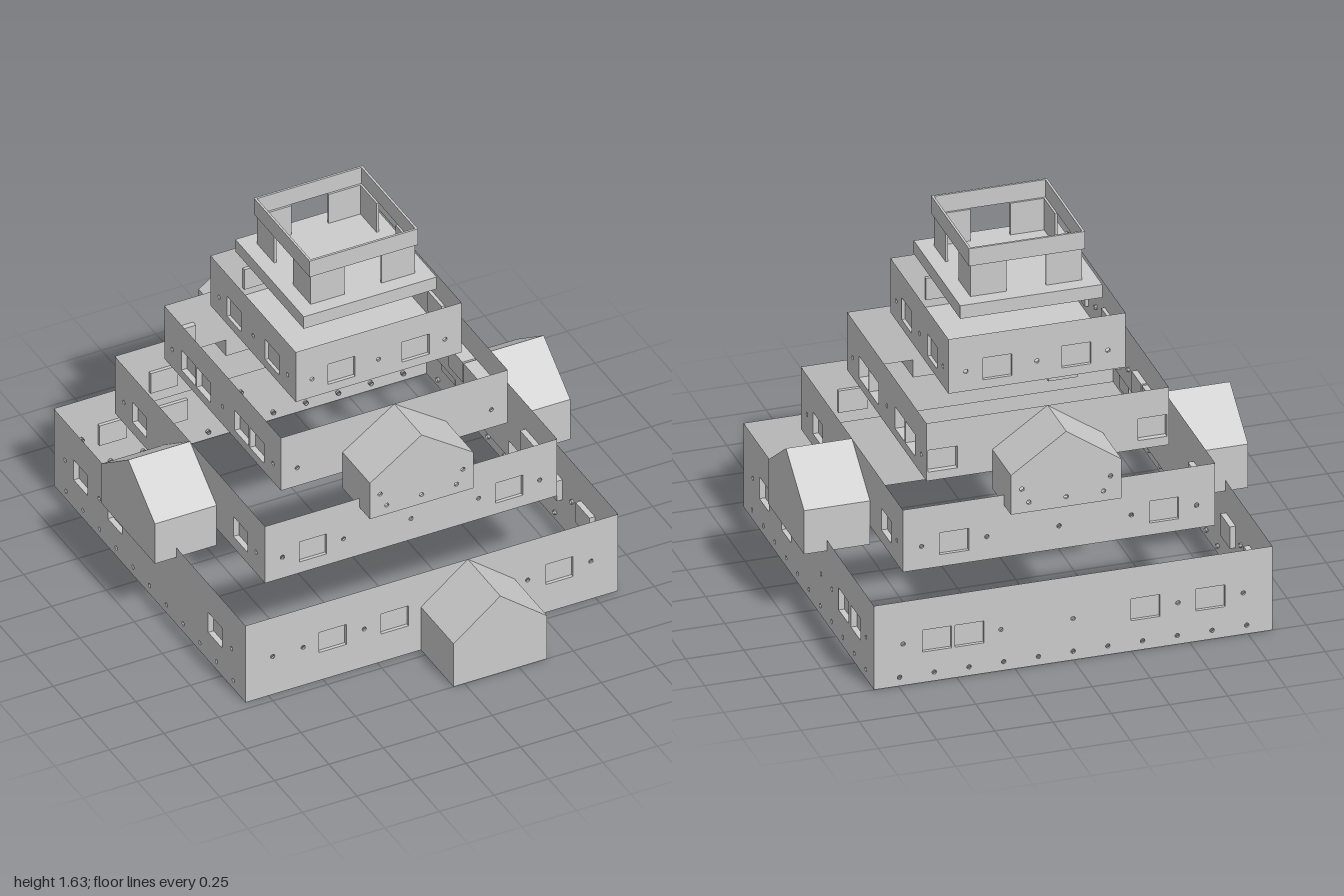
import * as THREE from 'three';

const CZ = -0.145; // centre of the tower in z
const mat = new THREE.MeshStandardMaterial({ color: 0xcccccc, side: THREE.DoubleSide, flatShading: true });
const WIN_W = 0.125, WIN_H = 0.1, HOLE_R = 0.01;

function add(parent, name, geometry, x = 0, y = 0, z = 0) {
  const mesh = new THREE.Mesh(geometry, mat);
  mesh.name = name;
  mesh.position.set(x, y, z);
  parent.add(mesh);
  return mesh;
}

function polygon(points) {
  return new THREE.Shape(points.map(([x, y]) => new THREE.Vector2(x, y)));
}

// round drain holes cut in a wall
function punch(shape, holes) {
  for (const [x, y] of holes) {
    const path = new THREE.Path();
    path.absarc(x, y, HOLE_R, 0, Math.PI * 2, true);
    shape.holes.push(path);
  }
}

// short sleeves behind the holes
function sleeves(parent, holes, z) {
  for (const [x, y] of holes) {
    const tube = new THREE.CylinderGeometry(HOLE_R, HOLE_R, 0.012, 10, 1, true).rotateX(Math.PI / 2);
    add(parent, 'holeSleeve', tube, x, y, z - 0.006);
  }
}

// box without its front face: a blind window recess
function recess(w, h, d) {
  const g = new THREE.BoxGeometry(w, h, d);
  const index = Array.from(g.index.array);
  g.setIndex(index.filter((_, i) => i < 24 || i >= 30));
  g.clearGroups();
  return g;
}

// one side of a storey, facing local +z at distance half from the axis
function wall({ half, y0, y1, mid, windows = [], holes = [], low = [], depth = 0.015 }) {
  const group = new THREE.Group();
  const shape = polygon([[-half, y0], [half, y0], [half, y1], [-half, y1]]);
  const round = [...holes.map(u => [u, mid]), ...low.map(u => [u, 0.04])];
  punch(shape, round);
  const a = WIN_W / 2, b = WIN_H / 2;
  for (const u of windows) {
    shape.holes.push(polygon([[u - a, mid - b], [u - a, mid + b], [u + a, mid + b], [u + a, mid - b]]));
    add(group, 'windowRecess', recess(WIN_W, WIN_H, depth), u, mid, half - depth / 2);
  }
  add(group, 'wall', new THREE.ShapeGeometry(shape, 5), 0, 0, half);
  sleeves(group, round, half);
  return group;
}

// gabled bay projecting towards local +z
function gableBay({ width, y0, eave, ridge, z0, z1, x = 0, closed = true, holes = [] }) {
  const group = new THREE.Group();
  group.name = 'gableBay';
  const w = width / 2;
  const outline = [[w, y0], [w, eave], [0, ridge], [-w, eave], [-w, y0]];
  const front = polygon(outline);
  punch(front, holes);
  add(group, 'gable', new THREE.ShapeGeometry(front, 5), x, 0, z1);
  sleeves(group, holes, z1);
  if (closed) add(group, 'backGable', new THREE.ShapeGeometry(polygon(outline)), x, 0, z0);
  // sides, roof slopes and floor as one ribbon
  const position = [];
  for (let i = 0; i < (closed ? 5 : 4); i++) {
    const [ax, ay] = outline[i], [bx, by] = outline[(i + 1) % 5];
    position.push(ax, ay, z1, ax, ay, z0, bx, by, z0, ax, ay, z1, bx, by, z0, bx, by, z1);
  }
  const shell = new THREE.BufferGeometry();
  shell.setAttribute('position', new THREE.Float32BufferAttribute(position, 3));
  shell.computeVertexNormals();
  add(group, 'sidesAndRoof', shell, x);
  return group;
}

export function createModel() {
  const model = new THREE.Group();
  model.name = 'steppedTower';
  const tower = new THREE.Group();
  tower.name = 'tower';
  tower.position.z = CZ;
  model.add(tower);

  const row = Array.from({ length: 11 }, (_, i) => (i - 5) * 0.149);
  const both = (...v) => v.flatMap(u => [-u, u]);

  // storeys: openings on the front, right (+x), back and left (-x) sides
  const storeys = [
    { name: 'groundStorey', half: 0.855, y0: 0, y1: 0.385, mid: 0.19, sides: [
      { windows: [-0.455, -0.17, 0.585], holes: [-0.73, -0.59, -0.31, 0.44, 0.73] },
      { windows: [0.615, 0.455, -0.295, -0.585], holes: [-0.735, -0.45, -0.165, 0.16, 0.3, 0.75], low: row, depth: 0.025 },
      { windows: [0.59, 0.31, -0.445, -0.585], holes: [0.73, 0.45, 0, -0.31, -0.73], low: row },
      { windows: [-0.615, -0.31, 0.585], holes: [-0.755, -0.45, 0.73], low: row, depth: 0.025 }] },
    { name: 'secondStorey', half: 0.67, y0: 0.42, y1: 0.705, mid: 0.525, sides: [
      { windows: both(0.45), holes: [0, ...both(0.31, 0.59)] },
      { windows: both(0.45), holes: both(0.59), depth: 0.025 },
      { windows: both(0.45), holes: [0, ...both(0.31, 0.59)] },
      { windows: both(0.45), holes: both(0.59), depth: 0.025 }] },
    { name: 'thirdStorey', half: 0.52, y0: 0.74, y1: 1.005, mid: 0.83, sides: [
      { holes: both(0.445) },
      { windows: both(0.17, 0.305), holes: [0, ...both(0.45)], depth: 0.06 },
      { windows: both(0.45), depth: 0.025 },
      { windows: both(0.17, 0.305), holes: [0, ...both(0.45)], depth: 0.025 }] },
    { name: 'fourthStorey', half: 0.38, y0: 1.05, y1: 1.3, mid: 1.14,
      sides: Array(4).fill({ windows: both(0.17), holes: [0, ...both(0.305)] }) },
  ];
  for (const { name, sides, ...size } of storeys) {
    const storey = new THREE.Group();
    storey.name = name;
    sides.forEach((side, i) => {
      const w = wall({ ...size, ...side });
      w.name = ['frontWall', 'rightWall', 'backWall', 'leftWall'][i];
      w.rotation.y = i * Math.PI / 2;
      storey.add(w);
    });
    tower.add(storey);
  }
  add(tower, 'fourthStoreyFloor', new THREE.PlaneGeometry(0.76, 0.76).rotateX(-Math.PI / 2), 0, 1.05, 0);

  // entrance house, open underneath
  const porch = gableBay({ width: 0.43, y0: 0, eave: 0.215, ridge: 0.385, z0: 0.855, z1: 1.145, x: 0.165, closed: false });
  porch.name = 'entranceHouse';
  tower.add(porch);

  // hanging bays: sides of the second storey, front and back of the third
  const upperHoles = [...both(0.19).map(x => [x, 0.77]), ...[-0.16, 0, 0.16].map(x => [x, 0.705])];
  for (let i = 0; i < 4; i++) {
    const bay = i % 2
      ? gableBay({ width: 0.475, y0: 0.335, eave: 0.535, ridge: 0.705, z0: 0.67, z1: 0.953 })
      : gableBay({ width: 0.475, y0: 0.66, eave: 0.84, ridge: 1.005, z0: 0.52, z1: 0.764, holes: upperHoles });
    bay.rotation.y = i * Math.PI / 2;
    tower.add(bay);
  }

  // lantern on top: slab, corner panels and crown ring
  add(tower, 'lanternSlab', new THREE.BoxGeometry(0.61, 0.06, 0.61), 0, 1.375, 0);
  for (let i = 0; i < 4; i++) {
    const side = new THREE.Group();
    side.name = 'lanternSide';
    side.rotation.y = i * Math.PI / 2;
    for (const s of [-1, 1]) add(side, 'lanternPanel', new THREE.BoxGeometry(0.155, 0.145, 0.01), s * 0.1625, 1.4775, 0.235);
    tower.add(side);
  }
  const square = r => [[-r, -r], [r, -r], [r, r], [-r, r]];
  const ring = polygon(square(0.249));
  ring.holes.push(polygon(square(0.239).reverse()));
  add(tower, 'lanternCrown', new THREE.ExtrudeGeometry(ring, { depth: 0.08, bevelEnabled: false }).rotateX(-Math.PI / 2), 0, 1.55, 0);

  return model;
}
